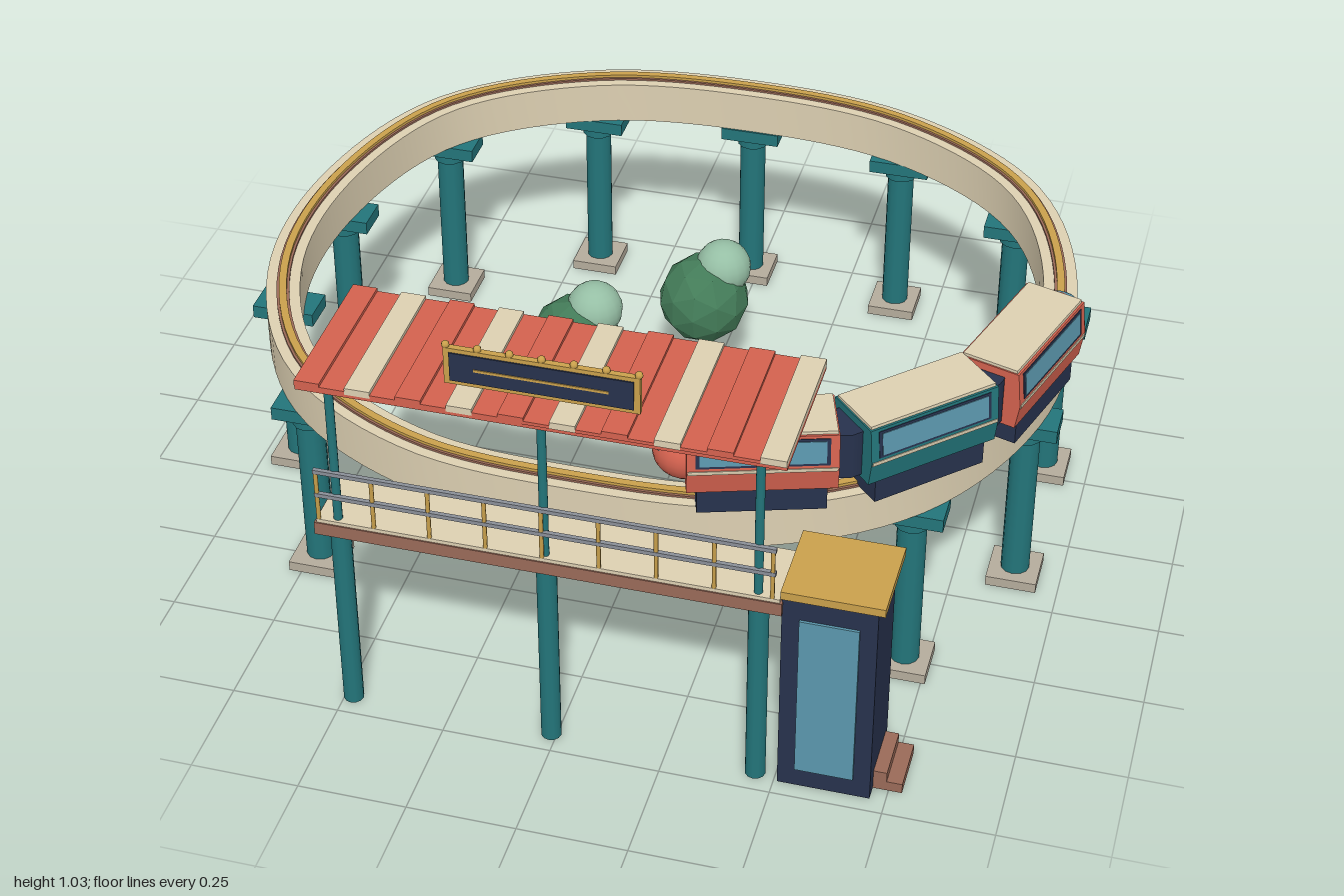
import * as THREE from 'three';
import { toCreasedNormals } from 'three/addons/utils/BufferGeometryUtils.js';

const mat = (color, flatShading = false) => new THREE.MeshStandardMaterial({ color, flatShading });
const M = {
  red: mat(0xd4624f), teal: mat(0x23757a), cream: mat(0xddd0b2), gold: mat(0xcaa14c),
  navy: mat(0x27324d), glass: mat(0x5b97ad), brown: mat(0x9a6a58), stone: mat(0xb5ac9c),
  steel: mat(0x8a8f98), leaf: mat(0x437b58, true), leafLight: mat(0x96bfa5),
};

function add(parent, name, geometry, material, x = 0, y = 0, z = 0) {
  const mesh = new THREE.Mesh(geometry, material);
  mesh.name = name;
  mesh.position.set(x, y, z);
  parent.add(mesh);
  return mesh;
}
function group(parent, name) {
  const g = new THREE.Group();
  g.name = name;
  parent.add(g);
  return g;
}
// Box given by its [min, max] on each axis
function box(parent, name, material, [x0, x1], [y0, y1], [z0, z1]) {
  return add(parent, name, new THREE.BoxGeometry(x1 - x0, y1 - y0, z1 - z0), material,
    (x0 + x1) / 2, (y0 + y1) / 2, (z0 + z1) / 2);
}
// Upright cylinder between two heights
function post(parent, name, material, x, z, r, y0, y1, sides = 12) {
  return add(parent, name, new THREE.CylinderGeometry(r, r, y1 - y0, sides), material, x, (y0 + y1) / 2, z);
}

// Centre line of the track; the first eleven points carry pillars
const STOPS = [
  [0.70, 0.51], [0.89, 0.13], [0.89, -0.29], [0.73, -0.66], [0.39, -0.885], [-0.02, -0.94],
  [-0.43, -0.885], [-0.77, -0.66], [-0.92, -0.27], [-0.91, 0.14], [-0.72, 0.51],
  [-0.39, 0.71], [-0.01, 0.75], [0.38, 0.71],
];
const track = new THREE.CatmullRomCurve3(STOPS.map(([x, z]) => new THREE.Vector3(x, 0, z)), true);

// Flat-topped ring following the track
function ring(width, y0, y1) {
  const n = 112;
  const side = (offset) => Array.from({ length: n }, (_, i) => {
    const p = track.getPointAt(i / n), t = track.getTangentAt(i / n);
    return new THREE.Vector2(p.x - t.z * offset, -(p.z + t.x * offset));
  });
  const shape = new THREE.Shape(side(width / 2));
  shape.holes.push(new THREE.Path(side(-width / 2)));
  const geo = new THREE.ExtrudeGeometry(shape, { depth: y1 - y0, bevelEnabled: false });
  geo.rotateX(-Math.PI / 2).translate(0, y0, 0);
  return toCreasedNormals(geo, 0.5);
}

function addTrack(root) {
  const g = group(root, 'track');
  add(g, 'beam', ring(0.08, 0.47, 0.578), M.cream);
  add(g, 'railBed', ring(0.03, 0.578, 0.583), M.brown);
  add(g, 'guideRail', ring(0.018, 0.578, 0.59), M.gold);
  add(g, 'beamUnderside', ring(0.04, 0.461, 0.47), M.teal);
  for (const [x, z] of STOPS.slice(0, 11)) {
    const p = group(g, 'pillar');
    p.position.set(x, 0, z);
    box(p, 'footing', M.stone, [-0.06, 0.06], [0, 0.025], [-0.06, 0.06]);
    post(p, 'column', M.teal, 0, 0, 0.034, 0.025, 0.44);
    post(p, 'collar', M.teal, 0, 0, 0.041, 0.415, 0.437);
    box(p, 'crossHead', M.teal, [-0.076, 0.076], [0.437, 0.47], [-0.045, 0.045]);
  }
}

// Half width of a car body at a height: widest at the waist
const carHalf = (y) => (y < 0.7 ? 0.07 + (y - 0.64) * 0.16 : 0.0796 - (y - 0.7) * 0.1);

// Slice of the car body, both sides at once
function band(y0, y1, length, grow = 0) {
  const ys = y0 < 0.7 && y1 > 0.7 ? [y0, 0.7, y1] : [y0, y1];
  const right = ys.map((y) => new THREE.Vector2(carHalf(y) + grow, y));
  const left = ys.map((y) => new THREE.Vector2(-carHalf(y) - grow, y)).reverse();
  return new THREE.ExtrudeGeometry(new THREE.Shape([...right, ...left]), { depth: length, bevelEnabled: false })
    .translate(0, 0, -length / 2);
}

function addCar(parent, x, z, dx, dz, paint, hasNose) {
  const car = group(parent, hasNose ? 'endCar' : 'middleCar');
  car.position.set(x, 0, z);
  car.rotation.y = Math.atan2(dx, dz);
  add(car, 'body', band(0.64, 0.783, 0.325), paint);
  add(car, 'waistStripe', band(0.694, 0.703, 0.32, 0.002), M.cream);
  add(car, 'windowFrame', band(0.71, 0.776, 0.286, 0.0015), M.navy);
  add(car, 'windows', band(0.716, 0.77, 0.27, 0.003), M.glass);
  add(car, 'roof', band(0.776, 0.79, 0.318, -0.005), M.cream);
  box(car, 'skirt', M.navy, [-0.064, 0.064], [0.58, 0.642], [-0.14, 0.14]);
  if (hasNose) {
    add(car, 'nose', new THREE.SphereGeometry(1, 20, 14), M.red, 0, 0.708, 0.158).scale.set(0.074, 0.064, 0.074);
    add(car, 'windshield', new THREE.SphereGeometry(1, 16, 10), M.glass, 0, 0.732, 0.194).scale.set(0.046, 0.026, 0.038);
  }
}

function addTrain(root) {
  const train = group(root, 'train');
  addCar(train, 0.875, 0.23, 0.29, -0.957, M.red, true);
  addCar(train, 0.695, 0.52, 0.71, -0.70, M.teal, false);
  addCar(train, 0.393, 0.695, -0.95, 0.31, M.red, true);
  for (const [x, z] of [[0.815, 0.4], [0.565, 0.64]]) post(train, 'gangway', M.navy, x, z, 0.05, 0.65, 0.765);
}

function addStation(root) {
  const g = group(root, 'station');
  // Deck
  box(g, 'deckFrame', M.brown, [-0.53, 0.51], [0.485, 0.517], [0.8, 0.972]);
  box(g, 'deckFloor', M.cream, [-0.525, 0.505], [0.517, 0.526], [0.803, 0.969]);
  for (const x of [-0.48, -0.013, 0.455]) {
    post(g, 'deckLeg', M.teal, x, 0.945, 0.023, 0, 0.485);
    post(g, 'canopyPost', M.teal, x, 0.953, 0.01, 0.526, 0.89);
  }
  // Railing
  for (let i = 0; i < 9; i++) post(g, 'railingPost', M.gold, -0.52 + i * 0.126, 0.965, 0.005, 0.526, 0.655, 6);
  for (const y of [0.592, 0.655]) {
    box(g, 'handrail', M.steel, [-0.525, 0.495], [y - 0.005, y + 0.005], [0.96, 0.97]);
  }
  // Canopy of alternating slats
  box(g, 'canopyBase', M.red, [-0.54, 0.517], [0.886, 0.897], [0.63, 0.988]);
  const w = 1.057 / 19;
  for (let i = 0; i < 19; i++) {
    const x = -0.54 + i * w;
    box(g, 'canopySlat', i % 4 === 2 ? M.cream : M.red, [x, x + w],
      [0.895, i % 2 ? 0.903 : 0.911], [0.627, 0.99]);
  }
  // Sign board with finials
  box(g, 'signFrame', M.gold, [-0.226, 0.196], [0.928, 1.018], [0.923, 0.937]);
  for (const z of [0.922, 0.938]) {
    box(g, 'signPanel', M.navy, [-0.213, 0.183], [0.938, 1.008], [z - 0.002, z + 0.002]);
    box(g, 'signBar', M.gold, [-0.16, 0.13], [0.97, 0.976], [z - 0.004, z + 0.004]);
  }
  for (let i = 0; i < 7; i++) {
    add(g, 'signFinial', new THREE.SphereGeometry(0.009, 8, 6), M.gold, -0.222 + i * 0.069, 1.022, 0.93);
  }
}

function addLift(root) {
  const g = group(root, 'liftTower');
  box(g, 'shaft', M.navy, [0.508, 0.715], [0, 0.525], [0.78, 0.962]);
  box(g, 'frontGlass', M.glass, [0.547, 0.677], [0.05, 0.475], [0.955, 0.968]);
  box(g, 'cap', M.gold, [0.505, 0.73], [0.525, 0.545], [0.755, 0.965]);
  box(g, 'lowerStep', M.brown, [0.71, 0.78], [0, 0.025], [0.797, 0.927]);
  box(g, 'upperStep', M.brown, [0.71, 0.745], [0.025, 0.05], [0.797, 0.927]);
}

function addTrees(root) {
  for (const [x, z] of [[-0.275, -0.14], [-0.013, -0.4], [0.247, 0.15]]) {
    const tree = group(root, 'tree');
    tree.position.set(x, 0, z);
    add(tree, 'trunk', new THREE.CylinderGeometry(0.012, 0.018, 0.2, 8), M.brown, 0, 0.1, 0);
    add(tree, 'crown', new THREE.IcosahedronGeometry(0.115, 1), M.leaf, 0, 0.278, 0);
    add(tree, 'upperCrown', new THREE.SphereGeometry(0.07, 16, 12), M.leafLight, 0.042, 0.36, -0.03);
  }
}

export function createModel() {
  const root = new THREE.Group();
  root.name = 'monorailLoop';
  addTrack(root);
  addTrain(root);
  addStation(root);
  addLift(root);
  addTrees(root);
  return root;
}
